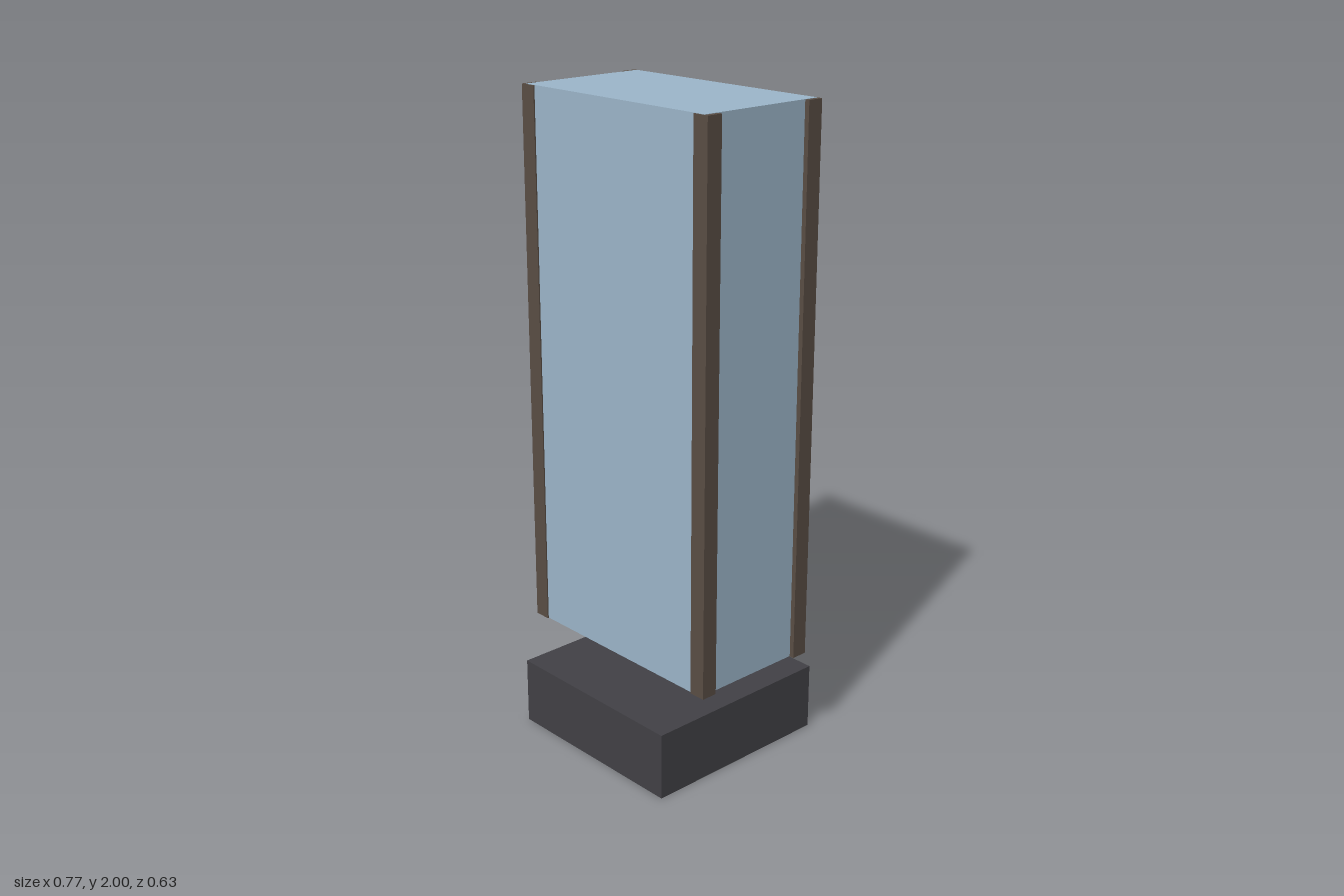
import * as THREE from 'three';

export function createModel() {
  const group = new THREE.Group();
  const paint = (color) => new THREE.MeshStandardMaterial({ color });
  const glass = paint(0x9db7cb), bronze = paint(0x5a4e45);
  const stone = paint(0x424146), red = paint(0xa8483f);

  // Box given by its lower and upper corners
  const box = (name, material, [x0, y0, z0], [x1, y1, z1]) => {
    const mesh = new THREE.Mesh(new THREE.BoxGeometry(x1 - x0, y1 - y0, z1 - z0), material);
    mesh.position.set((x0 + x1) / 2, (y0 + y1) / 2, (z0 + z1) / 2);
    mesh.name = name;
    group.add(mesh);
  };

  // Square plinth, with the body floating above it
  box('base', stone, [-0.315, 0, -0.315], [0.315, 0.21, 0.315]);
  box('body', glass, [-0.369, 0.32, -0.211], [0.369, 2, 0.211]);

  // Corner posts wrapping the four upright edges
  for (const sx of [-1, 1]) {
    for (const sz of [-1, 1]) {
      const xs = [sx * 0.331, sx * 0.384].sort((a, b) => a - b);
      const zs = [sz * 0.164, sz * 0.215].sort((a, b) => a - b);
      box('cornerPost', bronze, [xs[0], 0.319, zs[0]], [xs[1], 1.999, zs[1]]);
    }
  }

  // Thin panel on the back
  box('backPanel', red, [-0.211, 0.635, -0.227], [0.211, 1.685, -0.21]);

  return group;
}
